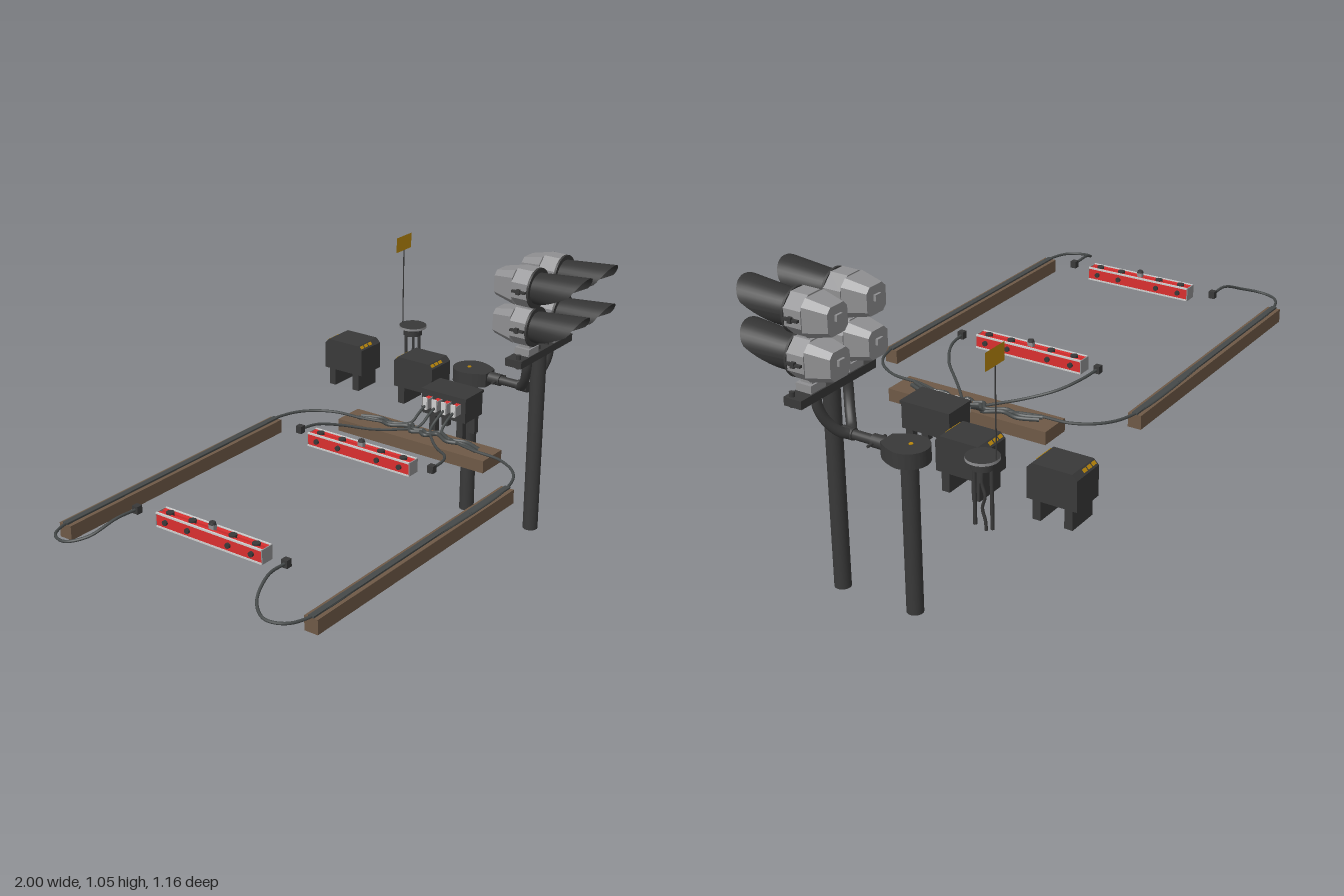
import * as THREE from 'three';
import { toCreasedNormals } from 'three/addons/utils/BufferGeometryUtils.js';

const mat = (name, color, side = THREE.FrontSide) => {
  const m = new THREE.MeshStandardMaterial({ color, side });
  m.name = name;
  return m;
};

export function createModel() {
  const root = new THREE.Group();
  root.name = 'crossingEquipment';
  const dark = mat('dark metal', 0x393939);
  const visorMat = mat('visor black', 0x343434, THREE.DoubleSide);
  const cableMat = mat('cable rubber', 0x454949);
  const grey = mat('cast grey', 0x8f8f91);
  const light = mat('lamp white', 0xcfcfcf);
  const red = mat('signal red', 0xd92f2f);
  const wood = mat('timber brown', 0x6e5946);
  const amber = mat('amber', 0xb8860b, THREE.DoubleSide);

  const add = (parent, name, geo, material, x = 0, y = 0, z = 0) => {
    const m = new THREE.Mesh(geo, material);
    m.name = name;
    m.position.set(x, y, z);
    parent.add(m);
    return m;
  };
  const group = (name, x = 0, y = 0, z = 0) => {
    const g = new THREE.Group();
    g.name = name;
    g.position.set(x, y, z);
    root.add(g);
    return g;
  };
  // box given by its limits
  const box = (p, name, m, x0, x1, y0, y1, z0, z1) =>
    add(p, name, new THREE.BoxGeometry(x1 - x0, y1 - y0, z1 - z0), m, (x0 + x1) / 2, (y0 + y1) / 2, (z0 + z1) / 2);
  // cylinder along an axis; r1 is the radius at the positive end
  const cyl = (p, name, m, axis, r0, r1, len, x, y, z, n = 20) => {
    const g = new THREE.CylinderGeometry(r1, r0, len, n);
    if (axis === 'x') g.rotateZ(-Math.PI / 2);
    if (axis === 'z') g.rotateX(Math.PI / 2);
    return add(p, name, g, m, x, y, z);
  };
  const tube = (p, name, m, pts, r, seg = 40, sides = 8) => {
    const curve = new THREE.CatmullRomCurve3(pts.map(a => new THREE.Vector3(...a)), false, 'centripetal');
    return add(p, name, new THREE.TubeGeometry(curve, seg, r, sides), m);
  };

  // timber beams with a cable channel on top
  for (const [name, z] of [['frontBeam', 0.554], ['backBeam', -0.413]]) {
    const g = group(name);
    box(g, 'timber', wood, -0.9, 0.148, 0.455, 0.504, z - 0.024, z + 0.024);
    box(g, 'cableChannel', cableMat, -0.9, 0.148, 0.503, 0.51, z - 0.01, z + 0.01);
  }
  box(root, 'crossBeam', wood, 0.283, 0.4, 0.455, 0.5, -0.235, 0.375);

  // cables, mirrored about z = 0.07
  const loop = [[-0.772, 0.562, 0.365], [-0.86, 0.563, 0.37], [-0.95, 0.53, 0.4], [-0.994, 0.512, 0.46],
    [-0.975, 0.508, 0.52], [-0.9, 0.506, 0.553], [-0.5, 0.505, 0.554], [0.148, 0.506, 0.554],
    [0.253, 0.507, 0.51], [0.313, 0.507, 0.42], [0.325, 0.508, 0.3], [0.353, 0.508, 0.2],
    [0.388, 0.51, 0.137], [0.43, 0.535, 0.13], [0.475, 0.553, 0.13]];
  const short = [[0.018, 0.562, 0.342], [0.1, 0.555, 0.33], [0.18, 0.535, 0.285], [0.25, 0.515, 0.21],
    [0.31, 0.508, 0.15], [0.38, 0.51, 0.095], [0.43, 0.535, 0.09], [0.475, 0.553, 0.09]];
  for (const mirrored of [false, true]) {
    const f = ([x, y, z]) => [x, y, mirrored ? 0.141 - z : z];
    tube(root, 'loopCable', cableMat, loop.map(f), 0.005, 150);
    tube(root, 'sensorCable', cableMat, short.map(f), 0.005, 60);
    for (const [x, y, z] of [loop[0], short[0]].map(f))
      box(root, 'cablePlug', dark, x - 0.01, x + 0.012, y - 0.013, y + 0.013, z - 0.011, z + 0.011);
    // slack coils lying on the cross beam
    for (const dx of [0, 0.02])
      tube(root, 'slackCable', cableMat, [[0.325 + dx, 0.506, 0.32], [0.35 + dx, 0.506, 0.25], [0.337 + dx, 0.506, 0.19],
        [0.368 + dx, 0.506, 0.13], [0.335 + dx, 0.506, 0.1], [0.35 + dx, 0.506, 0.07]].map(f), 0.007, 40);
  }

  // red wheel sensors with pale edge strips and end plates
  for (const x of [-0.755, 0.003]) {
    const g = group('wheelSensor', x, 0, 0.07);
    for (const s of [-1, 1]) {
      box(g, 'redBar', red, s * 0.014 - 0.009, s * 0.014 + 0.009, 0.533, 0.577, -0.208, 0.208);
      for (const y of [0.533, 0.577])
        box(g, 'edgeStrip', light, s * 0.022 - 0.003, s * 0.022 + 0.003, y - 0.003, y + 0.003, -0.208, 0.208);
      box(g, 'endPlate', grey, -0.024, 0.024, 0.531, 0.579, s * 0.209 - 0.002, s * 0.209 + 0.002);
    }
    for (const z of [-0.17, -0.08, 0.08, 0.17]) {
      cyl(g, 'clampBolt', dark, 'x', 0.009, 0.009, 0.062, 0, 0.555, z, 12);
      cyl(g, 'clampDisc', dark, 'y', 0.013, 0.013, 0.056, 0, 0.555, z, 14);
    }
    box(g, 'middlePost', grey, -0.008, 0.008, 0.535, 0.592, -0.01, 0.01);
    cyl(g, 'postCap', dark, 'y', 0.012, 0.01, 0.008, 0, 0.596, 0, 12);
  }

  // housing with chamfered top edges, profile across z
  const housing = (p, w, d, y0, y1, c) => {
    const s = new THREE.Shape([[-d, y0], [d, y0], [d, y1 - c], [d - c, y1], [c - d, y1], [-d, y1 - c]]
      .map(a => new THREE.Vector2(...a)));
    const geo = new THREE.ExtrudeGeometry(s, { depth: w, bevelEnabled: false });
    geo.translate(0, 0, -w / 2).rotateY(Math.PI / 2);
    return add(p, 'housing', geo, dark);
  };

  // junction box
  const jb = group('junctionBox', 0.56, 0, 0.068);
  housing(jb, 0.112, 0.091, 0.505, 0.597, 0.006);
  box(jb, 'lid', dark, -0.06, 0.06, 0.59, 0.6, -0.094, 0.094);
  for (const x of [-0.04, 0.04]) for (const z of [-0.05, 0.066])
    box(jb, 'leg', dark, x - 0.012, x + 0.012, 0.433, 0.506, z - 0.013, z + 0.013);
  for (const z of [0.011, 0.05, 0.09, 0.13]) {
    box(root, 'redConnector', red, 0.472, 0.504, 0.538, 0.576, z - 0.009, z + 0.008);
    box(root, 'connectorPlate', light, 0.466, 0.472, 0.536, 0.582, z - 0.009, z + 0.009);
    box(root, 'connectorSide', grey, 0.472, 0.504, 0.538, 0.576, z + 0.008, z + 0.011);
  }

  // two equipment cabinets on plate legs
  for (const z of [-0.176, -0.497]) {
    const g = group('cabinet', 0.724, 0, z);
    housing(g, 0.121, 0.085, 0.5, 0.618, 0.017);
    for (const s of [-1, 1]) {
      box(g, 'plateLeg', dark, -0.056, 0.056, 0.434, 0.505, s * 0.054 - 0.014, s * 0.054 + 0.014);
      for (const x of [-0.045, -0.02, 0.005]) {
        const mark = box(g, 'warningMark', amber, x - 0.009, x + 0.009, 0.609, 0.612, s * 0.0765 - 0.006, s * 0.0765 + 0.006);
        mark.rotation.x = s * Math.PI / 4;
      }
    }
  }

  // aerial stand
  const aerial = group('aerialStand', 0.887, 0, -0.331);
  add(aerial, 'topDisc', new THREE.CylinderGeometry(0.052, 0.052, 0.009, 28), [grey, dark, dark], 0, 0.656, 0);
  cyl(aerial, 'neck', dark, 'y', 0.034, 0.038, 0.012, 0, 0.646, 0);
  cyl(aerial, 'lowerDisc', dark, 'y', 0.036, 0.036, 0.018, 0, 0.632, 0);
  for (const s of [-1, 1]) cyl(aerial, 'standLeg', dark, 'y', 0.006, 0.006, 0.2, 0, 0.53, s * 0.03, 10);
  tube(aerial, 'hangingCable', dark, [[0, 0.63, 0], [0, 0.57, 0.004], [0, 0.53, -0.006], [0, 0.49, 0.004],
    [0, 0.45, -0.006], [0, 0.42, -0.008]], 0.005, 30);
  cyl(aerial, 'flagRod', dark, 'y', 0.0022, 0.0022, 0.292, 0, 0.804, -0.047, 8);
  add(aerial, 'flag', new THREE.PlaneGeometry(0.096, 0.057), amber, 0, 0.978, -0.047);

  // rear post with rounded cap and connecting pipe
  const X = 0.818;
  const rear = group('rearPost', X, 0, -0.019);
  cyl(rear, 'post', dark, 'y', 0.028, 0.028, 0.535, 0, 0.2675, 0, 24);
  const cap = new THREE.Shape();
  cap.absarc(0, 0, 0.067, -0.3, Math.PI + 0.3, false);
  cap.quadraticCurveTo(-0.052, -0.06, -0.03, -0.084);
  cap.lineTo(0.03, -0.084);
  cap.quadraticCurveTo(0.052, -0.06, 0.064, -0.02);
  const capGeo = new THREE.ExtrudeGeometry(cap, { depth: 0.052, bevelEnabled: false, curveSegments: 24 });
  capGeo.rotateX(-Math.PI / 2);
  add(rear, 'postCap', toCreasedNormals(capGeo, 0.6), dark, 0, 0.53, 0);
  cyl(rear, 'capMark', amber, 'y', 0.007, 0.007, 0.004, -0.004, 0.583, -0.005, 12);
  cyl(root, 'pipeCoupler', dark, 'z', 0.022, 0.022, 0.055, X, 0.56, 0.085);
  cyl(root, 'couplerBolt', dark, 'x', 0.005, 0.005, 0.09, X, 0.56, 0.102, 8);
  cyl(root, 'pipe', dark, 'z', 0.016, 0.016, 0.14, X, 0.56, 0.14);

  // signal mast, curved arms and crossbar
  const mast = group('signalMast', X, 0, 0.266);
  cyl(mast, 'post', dark, 'y', 0.028, 0.028, 0.73, 0, 0.365, 0, 24);
  box(mast, 'crossbar', dark, -0.18, 0.18, 0.703, 0.731, -0.033, 0.033);
  cyl(mast, 'pipeJoint', dark, 'z', 0.02, 0.02, 0.045, 0, 0.56, -0.058);
  for (const s of [-1, 1]) {
    tube(mast, 'curvedArm', dark, [[0, 0.56, -0.07], [s * 0.025, 0.57, -0.05], [s * 0.055, 0.61, -0.022],
      [s * 0.073, 0.66, -0.006], [s * 0.077, 0.71, 0]], 0.017, 30, 14);
    for (const x of [0.03, 0.165]) cyl(mast, 'crossbarBolt', dark, 'y', 0.009, 0.009, 0.05, s * x, 0.722, 0.012, 8);
  }

  // visor: flared tube cut back towards its lower edge
  const visor = () => {
    const n = 36, rows = 5, pos = [], idx = [];
    for (let j = 0; j <= rows; j++) for (let i = 0; i <= n; i++) {
      const a = i / n * Math.PI * 2, t = (1 + Math.sin(a)) / 2;
      const z = (t < 0.6 ? 0.004 + t * 0.26 : 0.16 + (t - 0.6) * 0.09) * j / rows;
      const r = 0.055 + 0.085 * z;
      pos.push(r * Math.cos(a) * 1.06, r * Math.sin(a), z);
      if (j < rows && i < n) {
        const k = j * (n + 1) + i;
        idx.push(k, k + 1, k + n + 1, k + 1, k + n + 2, k + n + 1);
      }
    }
    const g = new THREE.BufferGeometry();
    g.setAttribute('position', new THREE.Float32BufferAttribute(pos, 3));
    g.setIndex(idx);
    g.computeVertexNormals();
    return g;
  };
  // eight-sided loft along z, half size a at z0 to b at z1; wide > 1 makes the corners smaller
  const loft = (a, b, z0, z1, wide) => {
    const g = new THREE.CylinderGeometry(b / Math.cos(Math.PI / 8), a / Math.cos(Math.PI / 8), z1 - z0, 8);
    g.rotateY(Math.PI / 8).rotateX(Math.PI / 2).translate(0, 0, (z0 + z1) / 2);
    const p = g.attributes.position;
    for (let i = 0; i < p.count; i++) {
      const x = p.getX(i), y = p.getY(i);
      if (Math.abs(x) < Math.abs(y)) p.setX(i, x * wide);
      else p.setY(i, y * wide);
    }
    return toCreasedNormals(g, 0.3);
  };

  // four lamps
  for (const sx of [-1, 1]) {
    const x = X + sx * 0.0915;
    box(root, 'lampStem', grey, x - 0.02, x + 0.02, 0.73, 0.98, 0.245, 0.289);
    box(root, 'stemFoot', grey, x - 0.034, x + 0.034, 0.73, 0.757, 0.238, 0.296);
    for (const y of [0.837, 0.979]) {
      const g = group('lamp', x, y, 0);
      add(g, 'lampHousing', loft(0.067, 0.067, 0.232, 0.297, 1), grey);
      add(g, 'rearHousing', loft(0.046, 0.063, 0.15, 0.232, 1.55), grey);
      box(g, 'rearLatch', grey, -0.014, 0.014, -0.002, 0.018, 0.141, 0.152);
      cyl(g, 'frontRing', dark, 'z', 0.072, 0.072, 0.008, 0, 0, 0.299, 32);
      add(g, 'visor', visor(), visorMat, 0, 0, 0.3);
      for (const s of [-1, 1]) {
        box(g, 'sideLatch', dark, s * 0.071 - 0.007, s * 0.071 + 0.007, -0.006, 0.002, 0.238, 0.292);
        box(g, 'latchGrip', dark, s * 0.076 - 0.006, s * 0.076 + 0.006, -0.01, 0.008, 0.258, 0.272);
      }
      // ring of round lenses
      for (let i = 0; i < 9; i++) {
        const a = (i + 0.5) * Math.PI / 4, r = i < 8 ? 0.038 : 0;
        cyl(g, 'lens', light, 'z', 0.0142, 0.0138, 0.006, r * Math.cos(a), r * Math.sin(a), 0.306, 16);
      }
    }
  }
  return root;
}
